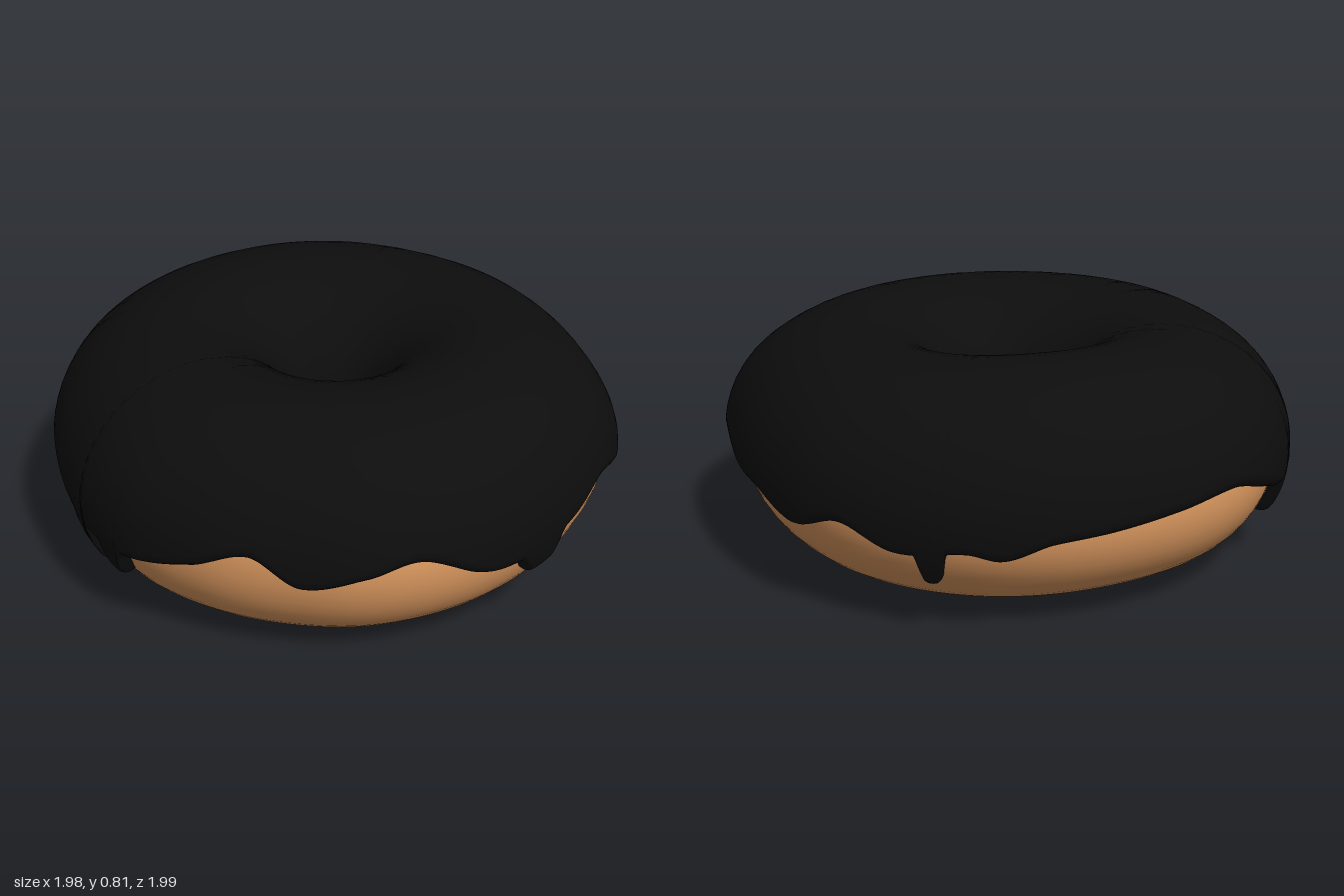
import * as THREE from 'three';

const TAU = Math.PI * 2;
const DEG = Math.PI / 180;
const CORE = 0.55; // radius of the ring's centre line
const MID = 0.39;  // height of the ring's centre line

// Smooth closed interpolation through [degrees, value] pairs
function around(points) {
  const n = points.length;
  return (deg) => {
    const d = ((deg % 360) + 360) % 360;
    let k = n - 1;
    for (let i = 0; i < n - 1; i++) if (d >= points[i][0] && d < points[i + 1][0]) k = i;
    const at = (i) => points[(i + n) % n];
    const end = k === n - 1 ? points[0][0] + 360 : points[k + 1][0];
    const t = (d - points[k][0]) / (end - points[k][0]);
    const [p0, p1, p2, p3] = [at(k - 1)[1], at(k)[1], at(k + 1)[1], at(k + 2)[1]];
    return 0.5 * (2 * p1 + (p2 - p0) * t + (2 * p0 - 5 * p1 + 4 * p2 - p3) * t * t
      + (3 * p1 - p0 - 3 * p2 + p3) * t * t * t);
  };
}

// Hand-made unevenness: outer radius and hole radius of the glazed ring (0 deg = front, 90 = +x)
const outerRadius = around([[0, 1], [18, 1.005], [35, 1.02], [55, 0.985], [75, 0.98], [90, 0.99],
  [114, 0.985], [138, 0.99], [159, 0.988], [180, 1], [197, 1], [218, 0.985], [248, 0.975],
  [270, 0.995], [287, 0.98], [305, 0.975], [322, 0.995], [340, 1]]);
const holeRadius = around([[0, 0.13], [45, 0.15], [90, 0.14], [140, 0.125], [180, 0.14],
  [225, 0.115], [270, 0.09], [315, 0.11]]);

// Glaze edge heights outside and inside
const outerEdge = around([[0, 0.33], [6, 0.35], [21, 0.41], [35, 0.36], [45, 0.4], [60, 0.345],
  [70, 0.335], [83, 0.285], [96, 0.35], [108, 0.28], [122, 0.3], [129, 0.28], [138, 0.335],
  [150, 0.36], [163, 0.385], [179, 0.405], [192, 0.34], [200, 0.3], [214, 0.3], [233, 0.385],
  [248, 0.31], [261, 0.29], [274, 0.31], [288, 0.37], [299, 0.435], [309, 0.345],
  [322, 0.39], [332, 0.43], [345, 0.335], [354, 0.32]]);
const innerEdge = around([[0, 0.33], [50, 0.39], [100, 0.35], [150, 0.4], [200, 0.35],
  [250, 0.39], [290, 0.34]]);

// Drips: [degrees, half width in degrees, drop]
const outerDrips = [[-0.5, 4, 0.075], [115, 2.1, 0.11], [207, 4, 0.13], [255, 2.1, 0.165], [267, 2.4, 0.1]];
const innerDrips = [[325, 14, 0.13]];

function dripAmount(deg, [centre, width]) {
  const d = Math.abs(((deg - centre + 540) % 360) - 180) / width;
  return (1 - THREE.MathUtils.smoothstep(d, 0.6, 1.5)) * (1 - 0.12 * Math.min(d * d, 1));
}
const edgeHeight = (edge, drips, deg) =>
  drips.reduce((y, drip) => y - drip[2] * dripAmount(deg, drip), edge(deg));

// Point on the ring: deg goes round the ring, phi round its section, lift is height above the dough
function ringPoint(deg, phi, lift) {
  const a = deg * DEG, c = Math.cos(phi), s = Math.sin(phi);
  const halfWidth = c > 0 ? outerRadius(deg) - 0.05 - CORE : CORE - holeRadius(deg) - 0.045;
  const sag = s < 0
    ? 0.012 * (Math.cos((deg + 43) * DEG) - 1) + 0.004 * Math.sin(4 * a)
    : 0.006 * Math.cos(2 * a + 1) + 0.004 * Math.sin(3 * a);
  const r = CORE + (halfWidth + lift) * c;
  const y = MID + (s < 0 ? 0.386 + sag : 0.368 + sag) * s + lift * s;
  return [r * Math.sin(a), y, r * Math.cos(a)];
}

// Skin of a closed ring from sections; point(deg, j) gives vertex j of a section
function ringSkin(segments, rows, closed, point) {
  const positions = [], index = [];
  const bands = closed ? rows : rows - 1;
  for (let i = 0; i < segments; i++) {
    for (let j = 0; j < rows; j++) positions.push(...point((i / segments) * 360, j));
    for (let j = 0; j < bands; j++) {
      const n = ((i + 1) % segments) * rows, m = i * rows, k = (j + 1) % rows;
      index.push(m + j, n + j, n + k, m + j, n + k, m + k);
    }
  }
  const geometry = new THREE.BufferGeometry();
  geometry.setAttribute('position', new THREE.Float32BufferAttribute(positions, 3));
  geometry.setIndex(index);
  geometry.computeVertexNormals();
  return geometry;
}

function makeDough() {
  const rows = 56;
  return ringSkin(144, rows, true, (deg, j) => ringPoint(deg, (j / rows) * TAU, 0));
}

function makeGlaze() {
  // Rows crowd together at both edges to form a rounded lip
  const lip = [0, 0.008, 0.025, 0.05, 0.085, 0.13];
  const middle = 24, rows = lip.length * 2 + middle;
  const thickness = 0.047, lipLength = 0.12;
  return ringSkin(720, rows, false, (deg, j) => {
    const start = Math.asin((edgeHeight(outerEdge, outerDrips, deg) - MID) / 0.386);
    const end = Math.PI - Math.asin((edgeHeight(innerEdge, innerDrips, deg) - MID) / 0.386);
    let phi;
    if (j < lip.length) phi = start + lip[j];
    else if (j >= rows - lip.length) phi = end - lip[rows - 1 - j];
    else {
      const t = (j - lip.length + 1) / (middle + 1);
      phi = THREE.MathUtils.lerp(start + 0.13, end - 0.13, t);
    }
    const d = Math.min((Math.min(phi - start, end - phi)) / lipLength, 1);
    const lift = -0.008 + (thickness + 0.008) * Math.sqrt(Math.max(0, 1 - (1 - d) ** 2));
    return ringPoint(deg, phi, lift);
  });
}

export function createModel() {
  const group = new THREE.Group();
  group.name = 'glazedDoughnut';
  const add = (name, geometry, color) => {
    const mesh = new THREE.Mesh(geometry, new THREE.MeshStandardMaterial({ color }));
    mesh.name = name;
    group.add(mesh);
  };
  add('dough', makeDough(), 0xe09c62);
  add('glaze', makeGlaze(), 0x0d0d0d);
  return group;
}
